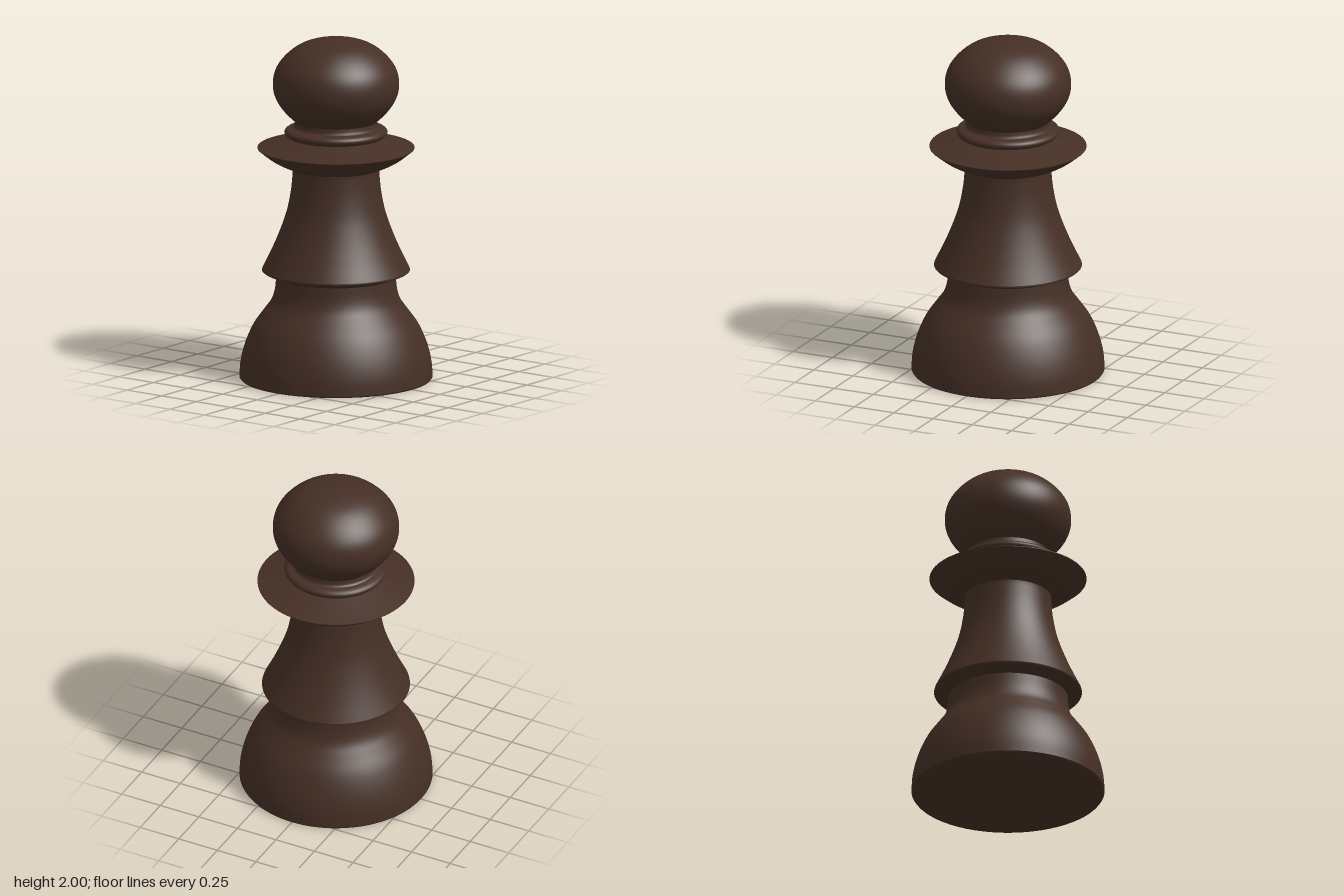
import * as THREE from 'three';

const SEGMENTS = 96;

// Revolves one smooth stretch of the profile, listed upwards as [radius, height].
function turned(name, material, points, steps = 0) {
  let profile = points.map(([r, y]) => new THREE.Vector2(r, y));
  if (steps) profile = new THREE.SplineCurve(profile).getPoints(steps);
  profile.forEach((p) => { p.x = Math.max(p.x, 0); });
  const mesh = new THREE.Mesh(new THREE.LatheGeometry(profile, SEGMENTS), material);
  mesh.name = name;
  return mesh;
}

export function createModel() {
  const wood = new THREE.MeshStandardMaterial({ color: 0x452f25 });
  wood.name = 'dark wood';

  const model = new THREE.Group();
  model.name = 'pawn';

  // Each part is its own lathe, so edges between parts stay crisp.
  model.add(
    // Foot and domed base
    turned('baseUnderside', wood, [[0, 0], [0.55, 0]]),
    turned('baseRim', wood, [[0.55, 0], [0.556, 0.008]]),
    turned('base', wood, [
      [0.556, 0.008], [0.549, 0.1], [0.522, 0.205], [0.475, 0.31], [0.415, 0.395],
      [0.373, 0.455], [0.352, 0.52], [0.344, 0.6],
    ], 32),

    // Flared skirt with an overhanging lip
    turned('skirtUnderside', wood, [[0.344, 0.6], [0.375, 0.612], [0.42, 0.63]], 6),
    turned('skirtLip', wood, [[0.42, 0.63], [0.426, 0.635], [0.424, 0.643]]),
    turned('stem', wood, [
      [0.424, 0.643], [0.374, 0.745], [0.325, 0.86], [0.284, 0.98],
      [0.26, 1.1], [0.25, 1.2], [0.249, 1.235],
    ], 28),

    // Wide collar
    turned('collarUnderside', wood, [
      [0.249, 1.235], [0.32, 1.263], [0.385, 1.3], [0.452, 1.353],
    ], 12),
    turned('collarEdge', wood, [[0.452, 1.353], [0.452, 1.357]]),
    turned('collarTop', wood, [[0.452, 1.357], [0.35, 1.384], [0.25, 1.413]], 8),

    // Rounded ring and short neck
    turned('neckRing', wood, [
      [0.25, 1.413], [0.282, 1.424], [0.297, 1.447], [0.283, 1.467], [0.25, 1.477],
    ], 16),
    turned('neck', wood, [[0.25, 1.477], [0.24, 1.487], [0.236, 1.512]], 6),

    // Rounded head
    turned('head', wood, [
      [0.236, 1.512], [0.296, 1.57], [0.345, 1.643], [0.364, 1.725], [0.347, 1.815],
      [0.29, 1.894], [0.205, 1.957], [0.1, 1.99], [0, 2],
    ], 40),
  );
  return model;
}
